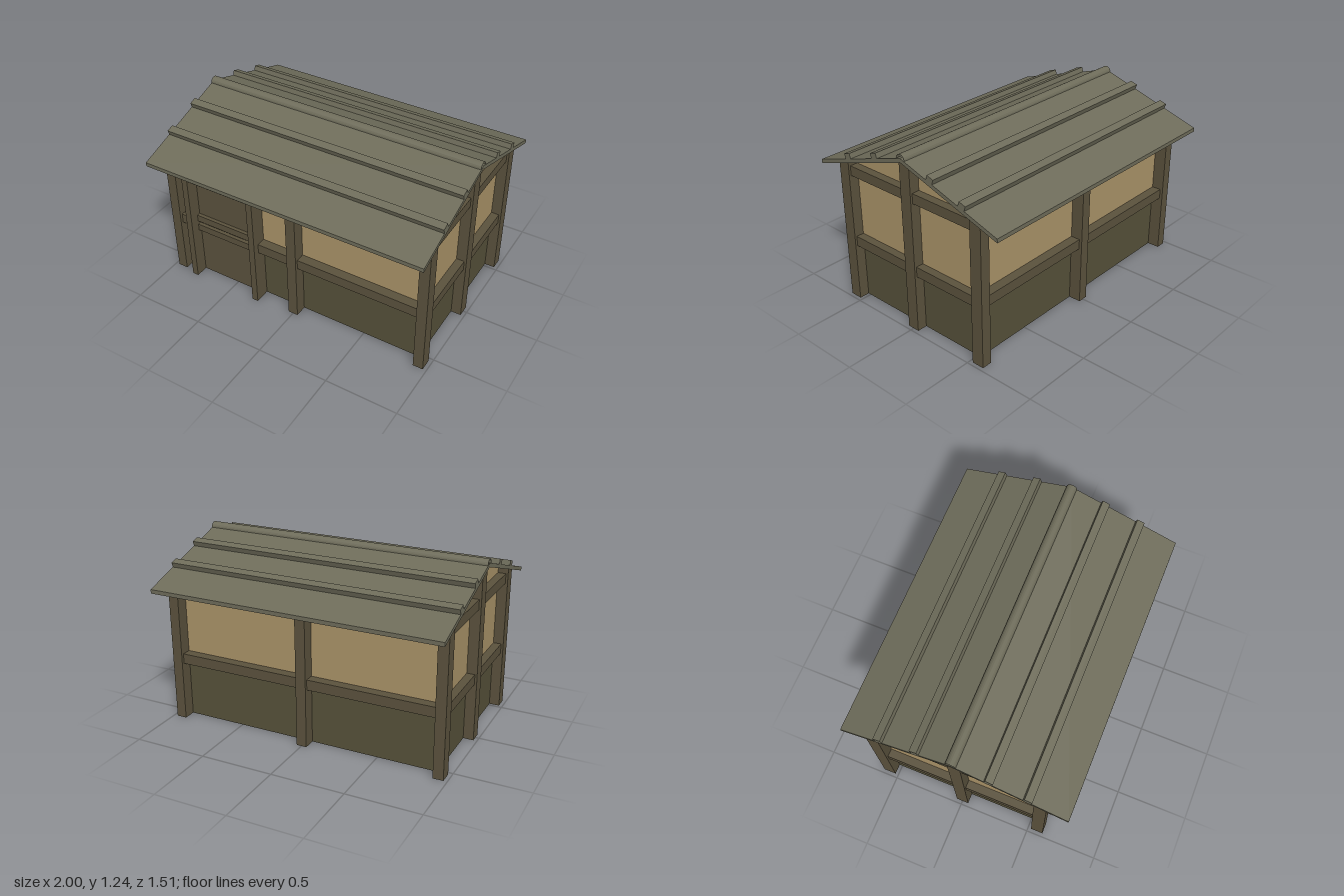
import * as THREE from 'three';

const WX = 0.905, WZ = 0.522;   // wall planes
const PX = 0.07, PZ = 0.085;    // post section
const SLOPE = 0.32, UNDER = 1.182;
const underside = (z) => UNDER - SLOPE * Math.abs(z);

const mat = (color, double) => new THREE.MeshStandardMaterial({
  color, flatShading: true, side: double ? THREE.DoubleSide : THREE.FrontSide,
});

export function createModel() {
  const group = new THREE.Group();
  const wood = mat(0x5b523d), roofMat = mat(0x6e6c5a), capMat = mat(0x6e6c5a, true);
  const dado = mat(0x56513a, true), plaster = mat(0xaa9368, true);

  const add = (name, geo, material, x = 0, y = 0, z = 0) => {
    const m = new THREE.Mesh(geo, material);
    m.name = name;
    m.position.set(x, y, z);
    group.add(m);
    return m;
  };
  // box given by its limits
  const box = (name, x0, x1, y0, y1, z0, z1, material = wood) =>
    add(name, new THREE.BoxGeometry(x1 - x0, y1 - y0, z1 - z0), material,
      (x0 + x1) / 2, (y0 + y1) / 2, (z0 + z1) / 2);

  // post whose top is cut to the roof slope
  const post = (name, x, z) => {
    const geo = new THREE.BoxGeometry(PX, 1, PZ, 1, 1, 2).translate(x, 0.5, z);
    const p = geo.attributes.position;
    for (let i = 0; i < p.count; i++) if (p.getY(i) > 0.5) p.setY(i, underside(p.getZ(i)));
    geo.computeVertexNormals();
    add(name, geo, wood);
  };
  const cx = WX + PX / 2, cz = WZ + PZ / 2;
  for (const s of [-1, 1]) {
    for (const t of [-1, 1]) post('cornerPost', s * cx, t * cz);
    post('gablePost', s * cx, 0);
    post(s > 0 ? 'frontMiddlePost' : 'backMiddlePost', 0, s * cz);
  }

  // walls: dark lower panels, light upper panels, open below
  const eave = underside(WZ);
  const gable = new THREE.Shape([[-WZ, 0.4], [WZ, 0.4], [WZ, eave], [0, UNDER], [-WZ, eave]]
    .map(([a, b]) => new THREE.Vector2(a, b)));
  for (const s of [-1, 1]) {
    const turn = s > 0 ? 0 : Math.PI;
    add('longLowerWall', new THREE.PlaneGeometry(2 * WX, 0.4), dado, 0, 0.2, s * WZ).rotation.y = turn;
    add('longUpperWall', new THREE.PlaneGeometry(2 * WX, eave - 0.4), plaster,
      0, (eave + 0.4) / 2, s * WZ).rotation.y = turn;
    add('endLowerWall', new THREE.PlaneGeometry(2 * WZ, 0.4), dado, s * WX, 0.2, 0).rotation.y = s * Math.PI / 2;
    add('gableWall', new THREE.ShapeGeometry(gable), plaster, s * WX, 0, 0).rotation.y = s * Math.PI / 2;
  }

  // horizontal rails between the posts
  const D = 0.065, DX = 0.055;
  for (const [y0, y1] of [[0.4, 0.47], [0.912, 0.98]]) {
    for (const s of [-1, 1]) {
      box('backRail', s < 0 ? -WX : PX / 2, s < 0 ? -PX / 2 : WX, y0, y1, -WZ - D, -WZ);
      for (const t of [-1, 1]) {
        const x0 = s > 0 ? WX : -WX - DX;
        const z0 = t > 0 ? PZ / 2 : -WZ;
        box('endRail', x0, x0 + DX, y0, y1, z0, z0 + WZ - PZ / 2);
      }
    }
    box('frontRail', PX / 2, WX, y0, y1, WZ, WZ + D);
    // front rails stop at the doorway when they are low
    const spans = y0 < 0.8 ? [[-WX, -0.83], [-0.272, -PX / 2]] : [[-WX, -PX / 2]];
    for (const [a, b] of spans) box('frontRail', a, b, y0, y1, WZ, WZ + D);
  }

  // door: frame, recessed leaf and two crossbars
  const F = 0.632;
  box('doorJamb', -0.83, -0.786, 0, 0.857, WZ, F);
  box('doorJamb', -0.316, -0.272, 0, 0.857, WZ, F);
  box('doorLintel', -0.786, -0.316, 0.817, 0.857, WZ, F);
  box('doorLeaf', -0.786, -0.316, 0, 0.817, WZ, WZ + 0.02);
  for (const y of [0.367, 0.445]) box('doorCrossbar', -0.786, -0.316, y, y + 0.05, WZ + 0.02, WZ + 0.045);

  // roof: chevron section running along x
  const E = 0.757, T = 0.027;
  const section = new THREE.Shape([
    [-E, underside(E)], [0, UNDER], [E, underside(E)],
    [E, underside(E) + T], [0, UNDER + T], [-E, underside(E) + T],
  ].map(([a, b]) => new THREE.Vector2(a, b)));
  const roof = new THREE.ExtrudeGeometry(section, { depth: 2, bevelEnabled: false });
  roof.translate(0, 0, -1).rotateY(Math.PI / 2);
  add('roof', roof, roofMat);

  // battens lying on each slope
  for (const s of [-1, 1]) for (const z of [0.238, 0.488]) {
    const b = add('roofBatten', new THREE.BoxGeometry(2, 0.046, 0.052), roofMat,
      0, underside(z) + T + 0.012, s * z);
    b.rotation.x = s * Math.atan(SLOPE);
  }

  // half-round ridge cap
  const cap = new THREE.CylinderGeometry(0.035, 0.035, 2, 10, 1, true, 0, Math.PI);
  cap.rotateZ(Math.PI / 2);
  add('ridgeCap', cap, capMat, 0, 1.2, 0);
  return group;
}
